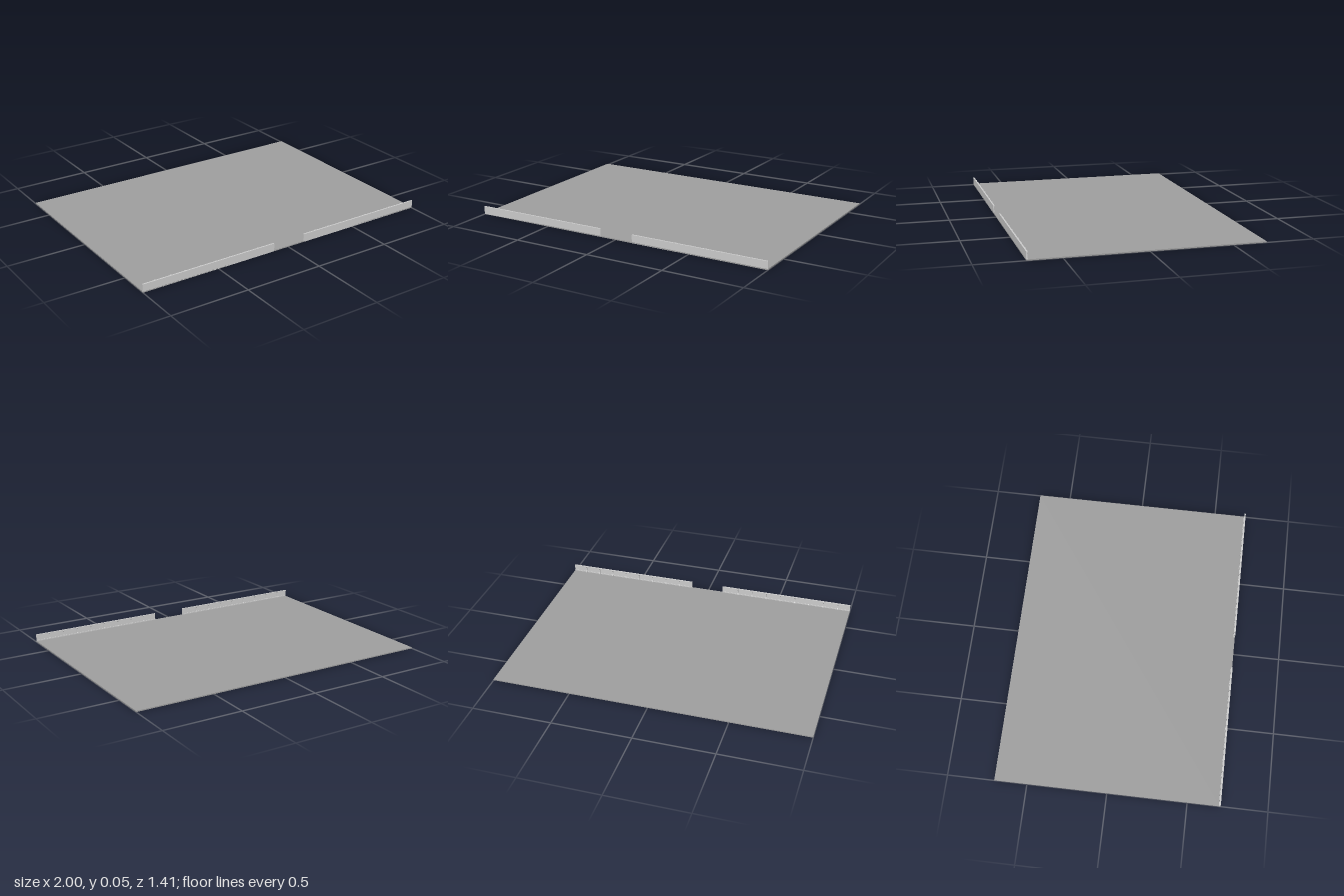
import * as THREE from 'three';

const wallMaterial = new THREE.MeshStandardMaterial({ color: 0xcccccc, flatShading: true });
const floorMaterial = new THREE.MeshStandardMaterial({ color: 0x9d9d9d, flatShading: true });
const FLOOR = 0.007, FRONT = 0.705, TOP = 0.052;

// Extrudes a [z, y] cross-section along x from x0 to x1.
function extrudeAlongX(name, profile, x0, x1) {
  const shape = new THREE.Shape(profile.map(([z, y]) => new THREE.Vector2(-z, y)));
  const geometry = new THREE.ExtrudeGeometry(shape, { depth: x1 - x0, bevelEnabled: false });
  geometry.rotateY(Math.PI / 2);
  geometry.translate(x0, 0, 0);
  const mesh = new THREE.Mesh(geometry, wallMaterial);
  mesh.name = name;
  return mesh;
}

// Wall section: thin skin with a narrow capping rail and skirting
const wallProfile = [
  [FRONT, 0], [FRONT, TOP], [0.696, TOP], [0.696, 0.046], [0.699, 0.046],
  [0.699, 0.014], [0.696, 0.014], [0.696, 0],
];

// Stiffening rib with a hollowed inner edge
const ribProfile = [
  [0.702, FLOOR], [0.702, 0.051], [0.691, 0.051], [0.691, 0.046],
  [0.695, 0.041], [0.695, 0.019], [0.691, 0.013], [0.691, FLOOR],
];

function frontWall(name, x0, x1, firstRib) {
  const wall = new THREE.Group();
  wall.name = name;
  wall.add(extrudeAlongX('wallPanel', wallProfile, x0, x1));
  for (let i = 0; i < 8; i++) {
    const x = firstRib + i * 0.1;
    wall.add(extrudeAlongX('wallRib', ribProfile, x - 0.004, x + 0.004));
  }
  return wall;
}

export function createModel() {
  const model = new THREE.Group();
  model.name = 'floorWithFrontWall';

  // Flat floor slab
  const floor = new THREE.Mesh(new THREE.BoxGeometry(2, FLOOR, FRONT * 2), floorMaterial);
  floor.name = 'floor';
  floor.position.y = FLOOR / 2;
  model.add(floor);

  // Two low walls with an entrance gap between them
  model.add(frontWall('rightFrontWall', -1, -0.105, -0.917));
  model.add(frontWall('leftFrontWall', 0.117, 1, 0.21));
  return model;
}
